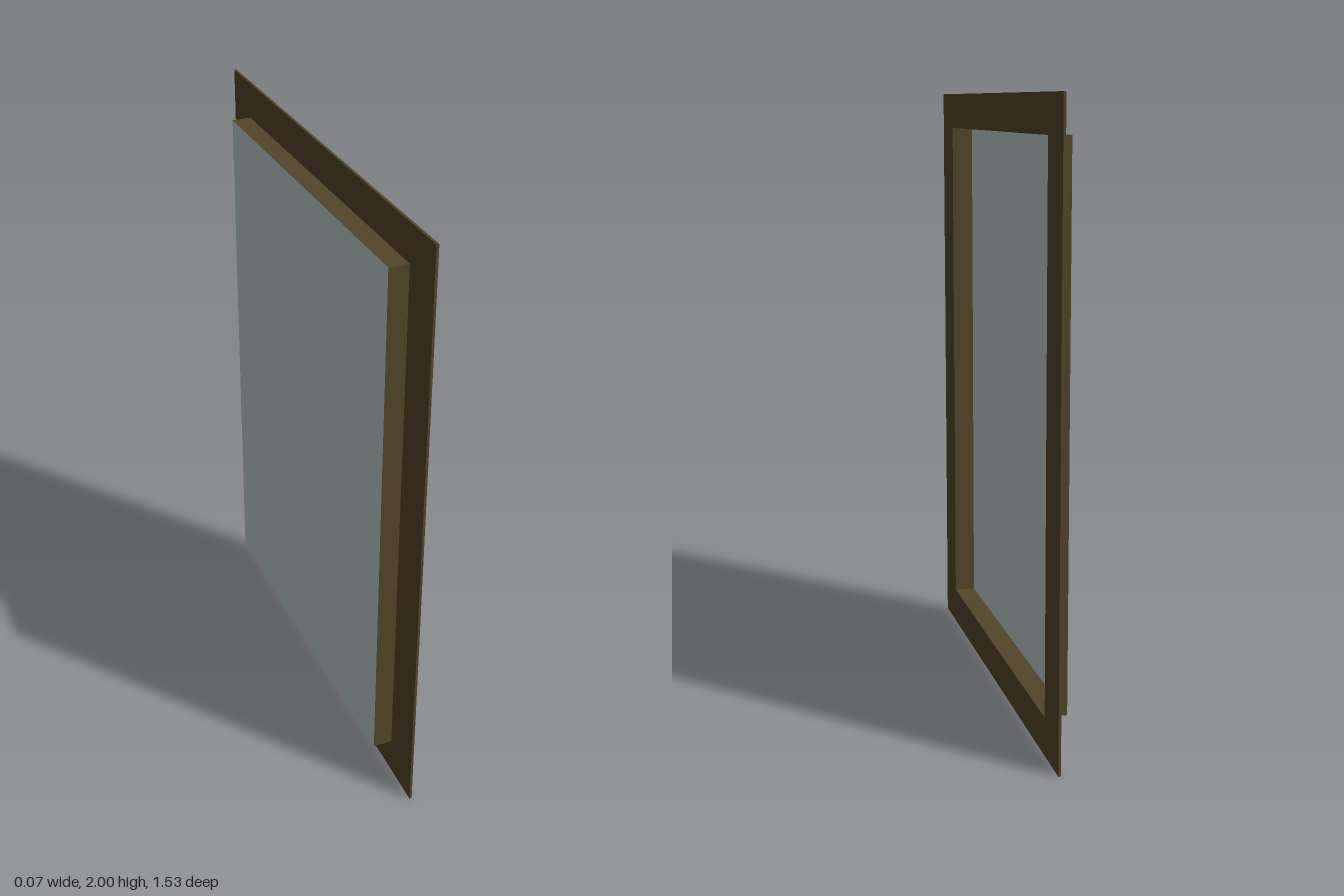
import * as THREE from 'three';

const W = 1.53, H = 2;                          // outer flange size (z, y)
const OPEN_W = 1.232, Y0 = 0.125, Y1 = 1.88;    // opening
const BACK = -0.036, FACE = 0.036, THICK = 0.008;

function rect(path, w, y0, y1) {
  path.moveTo(-w / 2, y0);
  path.lineTo(w / 2, y0);
  path.lineTo(w / 2, y1);
  path.lineTo(-w / 2, y1);
  path.closePath();
  return path;
}

export function createModel() {
  const group = new THREE.Group();
  group.name = 'window';
  const frameMat = new THREE.MeshStandardMaterial({ color: 0x524627, side: THREE.DoubleSide });
  const glassMat = new THREE.MeshStandardMaterial({ color: 0xbccaca, side: THREE.DoubleSide });

  const add = (name, geometry, material, x, y, z) => {
    const mesh = new THREE.Mesh(geometry, material);
    mesh.name = name;
    mesh.position.set(x, y, z);
    group.add(mesh);
    return mesh;
  };

  // Thin flat flange around the opening
  const shape = rect(new THREE.Shape(), W, 0, H);
  shape.holes.push(rect(new THREE.Path(), OPEN_W, Y0, Y1));
  const flange = new THREE.ExtrudeGeometry(shape, { depth: THICK, bevelEnabled: false });
  add('frameFlange', flange.rotateY(Math.PI / 2), frameMat, FACE - THICK, 0, 0);

  // Thin recess walls running from the flange back to the glass
  const depth = FACE - THICK - BACK;
  const midX = BACK + depth / 2, midY = (Y0 + Y1) / 2;
  for (const s of [-1, 1]) {
    const side = new THREE.PlaneGeometry(depth, Y1 - Y0);
    if (s < 0) side.rotateY(Math.PI);
    add(s > 0 ? 'frontSideWall' : 'backSideWall', side, frameMat, midX, midY, s * OPEN_W / 2);

    const level = new THREE.PlaneGeometry(depth, OPEN_W).rotateX(-s * Math.PI / 2);
    add(s > 0 ? 'topWall' : 'bottomWall', level, frameMat, midX, s > 0 ? Y1 : Y0, 0);
  }

  // Glass pane closing the back of the recess
  const pane = new THREE.PlaneGeometry(OPEN_W, Y1 - Y0).rotateY(Math.PI / 2);
  add('glassPane', pane, glassMat, BACK, midY, 0);

  return group;
}
